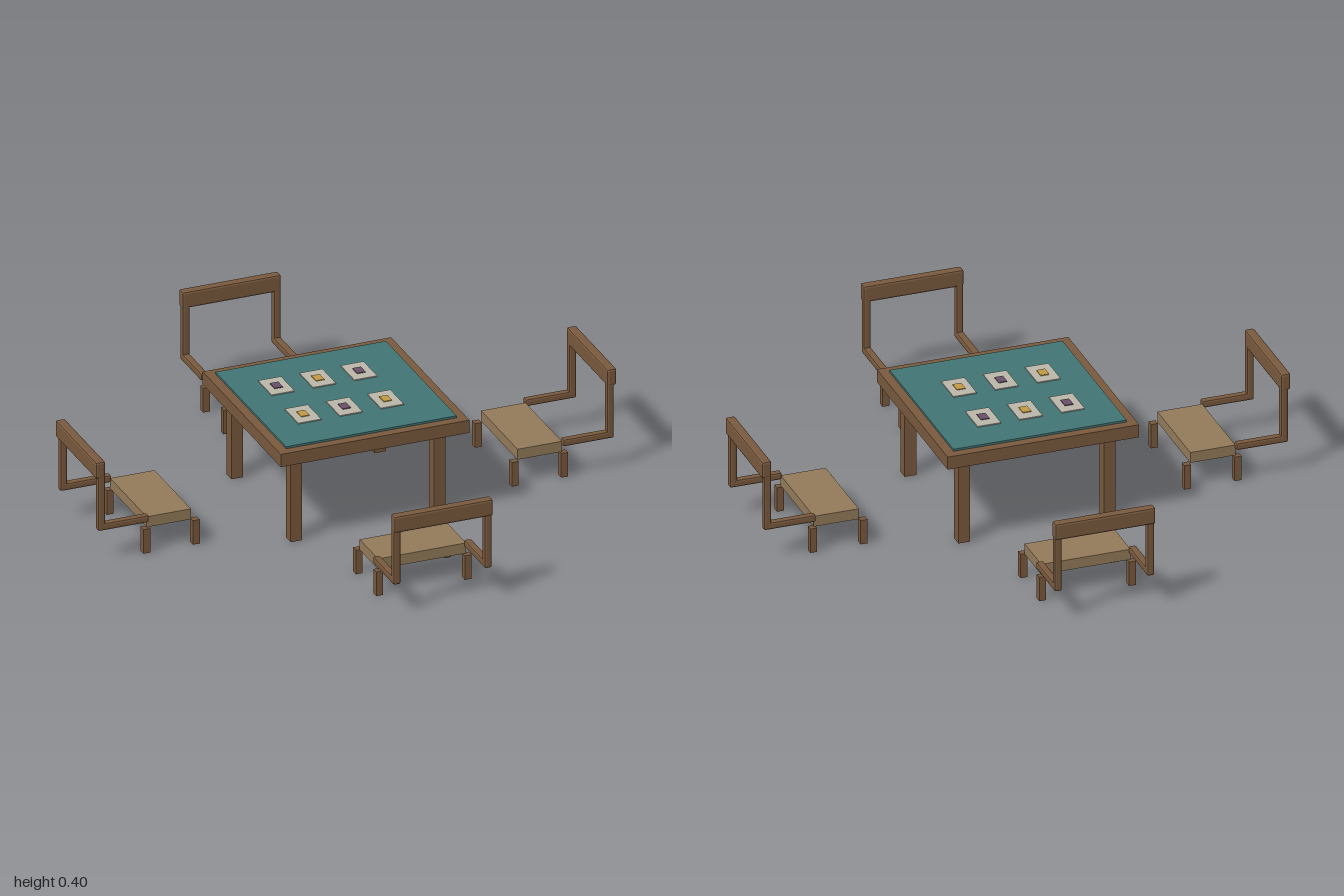
import * as THREE from 'three';
import { RoundedBoxGeometry } from 'three/addons/geometries/RoundedBoxGeometry.js';

const material = (color) => new THREE.MeshStandardMaterial({ color, flatShading: true });
const wood = material(0x7a5a3e);
const seatWood = material(0x957c5b);
const felt = material(0x427675);
const paper = material(0xbcb8aa);
const purple = material(0x6a5068);
const gold = material(0xc49a45);

// Box given by its min and max on each axis; bevel > 0 chamfers the edges
function block(parent, name, mat, [x0, x1], [y0, y1], [z0, z1], bevel = 0) {
  const size = [x1 - x0, y1 - y0, z1 - z0];
  const geometry = bevel
    ? new RoundedBoxGeometry(...size, 1, bevel)
    : new THREE.BoxGeometry(...size);
  const mesh = new THREE.Mesh(geometry, mat);
  mesh.name = name;
  mesh.position.set((x0 + x1) / 2, (y0 + y1) / 2, (z0 + z1) / 2);
  parent.add(mesh);
  return mesh;
}

const around = (c, width) => [c - width / 2, c + width / 2];

function createTable() {
  const table = new THREE.Group();
  table.name = 'table';
  block(table, 'tableTop', wood, [-0.362, 0.362], [0.338, 0.388], [-0.362, 0.362]);
  block(table, 'feltSurface', felt, [-0.327, 0.327], [0.38, 0.396], [-0.327, 0.327]);
  for (const x of [-0.275, 0.275]) {
    for (const z of [-0.275, 0.275]) {
      block(table, 'tableLeg', wood, around(x, 0.044), [0, 0.339], around(z, 0.044));
    }
  }
  // Two rows of three cards with alternating emblems
  [-0.135, 0.112].forEach((z, row) => {
    [-0.173, -0.014, 0.144].forEach((x, col) => {
      block(table, 'card', paper, around(x, 0.088), [0.394, 0.4], around(z, 0.126));
      const mat = (row + col) % 2 ? gold : purple;
      block(table, 'cardEmblem', mat, around(x, 0.032), [0.399, 0.403], around(z, 0.044));
    });
  });
  return table;
}

// Chair on the +z side, facing the table
function createChair() {
  const chair = new THREE.Group();
  chair.name = 'chair';
  block(chair, 'seat', seatWood, [-0.169, 0.169], [0.095, 0.136], [0.627, 0.797]);
  for (const side of [-1, 1]) {
    for (const z of [0.612, 0.802]) {
      block(chair, 'chairLeg', wood, around(side * 0.17, 0.026), [0, 0.095], around(z, 0.026));
    }
    block(chair, 'sideRail', wood, around(side * 0.175, 0.028), [0.122, 0.15], [0.795, 0.99], 0.007);
    block(chair, 'backPost', wood, around(side * 0.175, 0.028), [0.122, 0.392], [0.963, 0.991], 0.007);
  }
  block(chair, 'backSlat', wood, [-0.19, 0.19], [0.33, 0.395], [0.963, 1], 0.008);
  return chair;
}

export function createModel() {
  const model = new THREE.Group();
  model.name = 'cardTableWithChairs';
  model.add(createTable());
  for (let i = 0; i < 4; i++) {
    const chair = createChair();
    chair.rotation.y = (i * Math.PI) / 2;
    model.add(chair);
  }
  return model;
}
